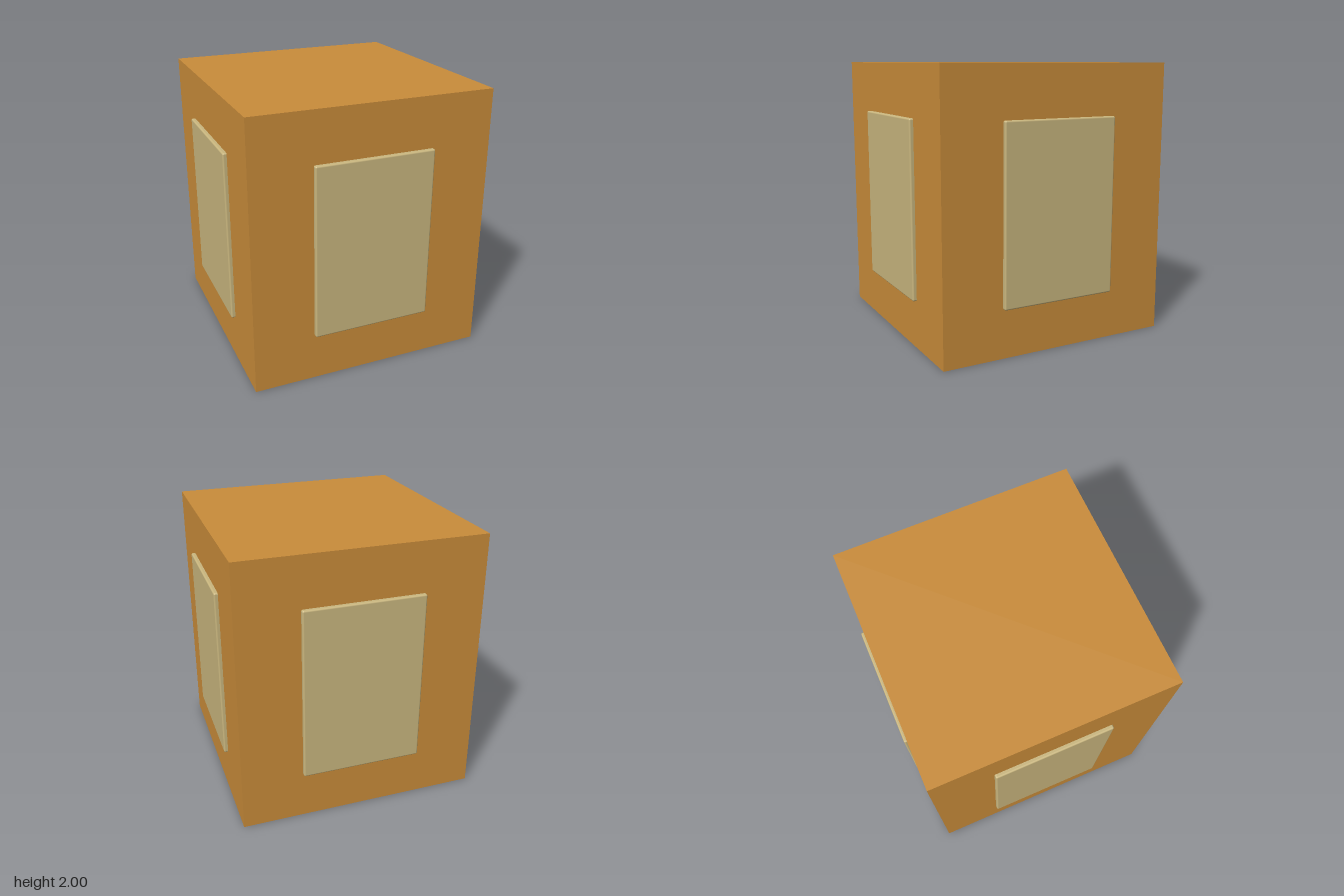
import * as THREE from 'three';
import { RoundedBoxGeometry } from 'three/addons/geometries/RoundedBoxGeometry.js';

export function createModel() {
  const group = new THREE.Group();
  const amber = new THREE.MeshStandardMaterial({ color: 0xc98c3a });
  amber.name = 'amber body';
  const cream = new THREE.MeshStandardMaterial({ color: 0xc9b67e });
  cream.name = 'cream panel';

  // Square block, slightly taller than wide
  const width = 1.772;
  const body = new THREE.Mesh(new THREE.BoxGeometry(width, 2, width), amber);
  body.name = 'body';
  body.position.y = 1;
  group.add(body);

  // One softly rounded raised panel on each upright side
  const depth = 0.05;
  const panelGeometry = new RoundedBoxGeometry(0.88, 1.28, depth, 3, 0.012);
  ['front', 'left', 'back', 'right'].forEach((side, i) => {
    const angle = (i * Math.PI) / 2;
    const reach = 0.915 - depth / 2;
    const panel = new THREE.Mesh(panelGeometry, cream);
    panel.name = `${side}Panel`;
    panel.position.set(Math.sin(angle) * reach, 0.99, Math.cos(angle) * reach);
    panel.rotation.y = angle;
    group.add(panel);
  });

  return group;
}
